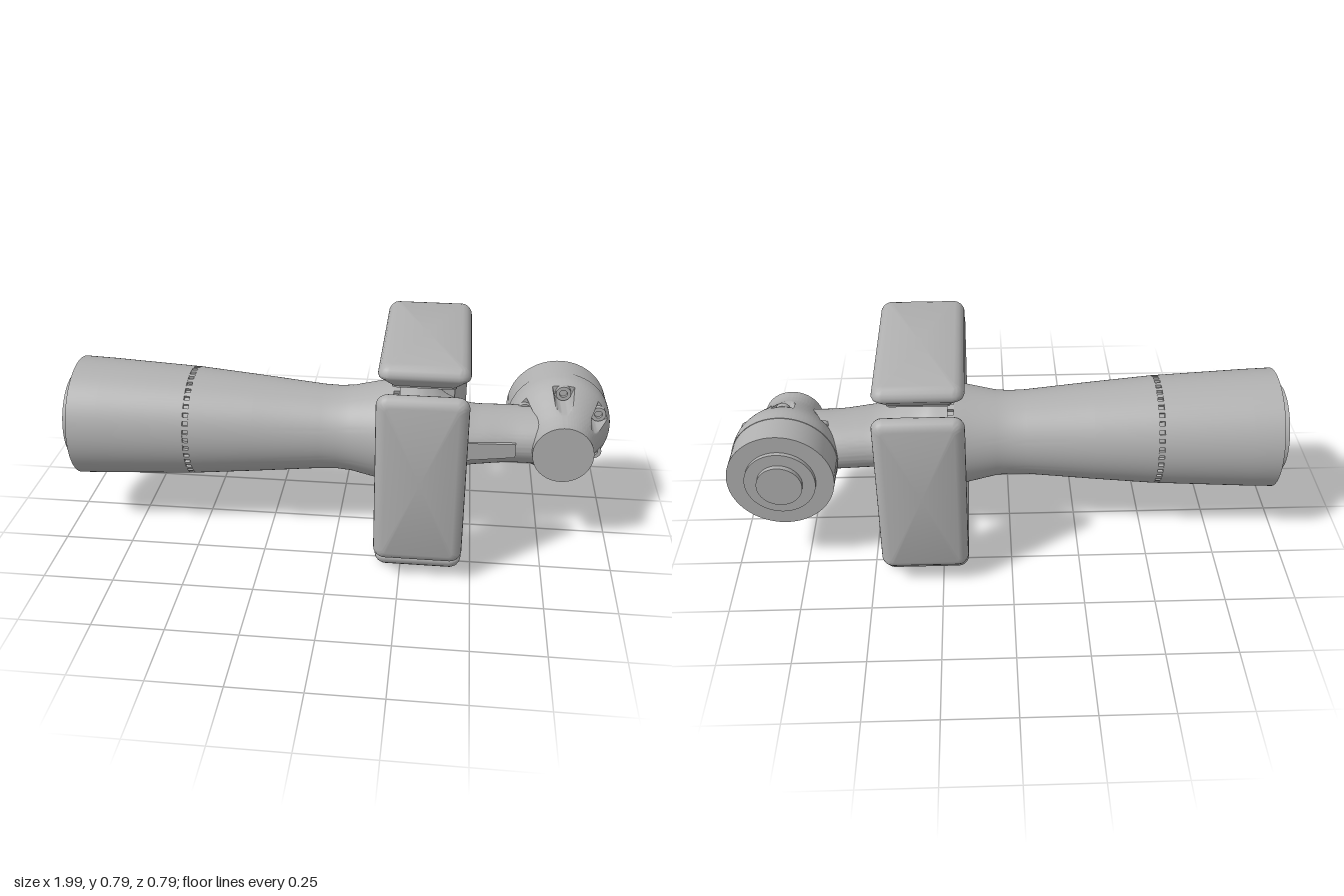
import * as THREE from 'three';
import { toCreasedNormals } from 'three/addons/utils/BufferGeometryUtils.js';

const CY = 0.4; // height of the main axis
const grey = new THREE.MeshStandardMaterial({ color: 0xb0b0b0 });
grey.name = 'grey';

function part(name, geometry, parent, crease = 0.6) {
  const mesh = new THREE.Mesh(toCreasedNormals(geometry, crease), grey);
  mesh.name = name;
  parent.add(mesh);
  return mesh;
}

// profile given as [position along axis, radius]
function lathe(profile, segments) {
  return new THREE.LatheGeometry(profile.map(([a, r]) => new THREE.Vector2(r, a)), segments);
}

// closed skin over rings that advance along +z, capped at both ends
function loft(rings) {
  const n = rings[0].length, pos = [], idx = [];
  rings.forEach(ring => ring.forEach(p => pos.push(...p)));
  for (let i = 0; i < rings.length - 1; i++) {
    for (let j = 0; j < n; j++) {
      const a = i * n + j, b = i * n + (j + 1) % n;
      idx.push(a, b, b + n, a, b + n, a + n);
    }
  }
  [0, rings.length - 1].forEach(i => {
    const c = pos.length / 3, mid = [0, 0, 0];
    rings[i].forEach(p => p.forEach((v, k) => { mid[k] += v / n; }));
    pos.push(...mid);
    for (let j = 0; j < n; j++) {
      const a = i * n + j, b = i * n + (j + 1) % n;
      idx.push(c, i ? a : b, i ? b : a);
    }
  });
  const g = new THREE.BufferGeometry();
  g.setAttribute('position', new THREE.Float32BufferAttribute(pos, 3));
  g.setIndex(idx);
  return g;
}

function roundedRing(hx, hy, r, z) {
  const ring = [];
  for (let q = 0; q < 4; q++) {
    const sx = q === 0 || q === 3 ? 1 : -1, sy = q < 2 ? 1 : -1;
    for (let k = 0; k <= 6; k++) {
      const t = (q + k / 6) * Math.PI / 2;
      ring.push([sx * (hx - r) + r * Math.cos(t), sy * (hy - r) + r * Math.sin(t), z]);
    }
  }
  return ring;
}

// ring of small teeth bridging a groove around the main axis
function toothRing(name, parent, x, radius, count, width) {
  const ring = new THREE.Group();
  ring.name = name;
  for (let i = 0; i < count; i++) {
    const g = new THREE.BoxGeometry(width, 0.02, radius * Math.PI / count);
    g.translate(x, radius - 0.01, 0).rotateX(i / count * Math.PI * 2);
    part('tooth', g, ring);
  }
  parent.add(ring);
}

function makeBody(parent) {
  const body = new THREE.Group();
  body.name = 'body';
  body.position.y = CY;
  parent.add(body);
  const barrel = lathe([
    [-1, 0], [-1, 0.16], [-0.968, 0.16], [-0.968, 0.22], [-0.86, 0.216], [-0.546, 0.2],
    [-0.546, 0.188], [-0.526, 0.188], [-0.526, 0.199], [-0.3, 0.179], [-0.06, 0.156],
    [0, 0.154], [0.05, 0.158], [0.16, 0.182], [0.2, 0.19], [0.2, 0.178], [0.225, 0.178], [0.225, 0]
  ], 96);
  part('barrel', barrel.rotateZ(-Math.PI / 2), body);
  toothRing('rearToothRing', body, -0.536, 0.199, 40, 0.022);
  toothRing('frontToothRing', body, 0.2125, 0.19, 28, 0.027);

  // small studs under the barrel
  [-0.7, -0.82].forEach(x => {
    const g = new THREE.CylinderGeometry(0.014, 0.014, 0.02, 16);
    part('stud', g.translate(x, -0.212, 0), body);
  });

  // neck: ellipse sections [x, half height, half depth, depth offset]
  const stations = [
    [0.222, 0.196, 0.196, 0], [0.29, 0.193, 0.195, 0], [0.34, 0.17, 0.182, 0],
    [0.4, 0.13, 0.158, 0], [0.47, 0.106, 0.143, -0.003], [0.55, 0.1, 0.135, -0.012],
    [0.63, 0.098, 0.13, -0.018], [0.74, 0.1, 0.125, -0.02]
  ];
  const sizes = new THREE.CatmullRomCurve3(stations.map(s => new THREE.Vector3(s[0], s[1], s[2])));
  const rings = [];
  for (let i = 0; i <= 48; i++) {
    const p = sizes.getPoint(i / 48), ring = [];
    const off = -0.02 * THREE.MathUtils.smoothstep(p.x, 0.45, 0.65);
    for (let j = 0; j < 96; j++) {
      const t = j / 96 * Math.PI * 2;
      // four pockets beside the ribs
      const side = Math.atan2(Math.abs(Math.sin(t)), Math.abs(Math.cos(t)));
      const across = 1 - THREE.MathUtils.smoothstep(Math.abs(side - 0.5), 0.2, 0.3);
      const along = THREE.MathUtils.smoothstep(p.x, 0.3, 0.34) * (1 - THREE.MathUtils.smoothstep(p.x, 0.4, 0.47));
      const s = 1 - 0.2 * across * along;
      ring.push([p.z * s * Math.cos(t) - off, p.y * s * Math.sin(t), p.x]);
    }
    rings.push(ring);
  }
  part('neck', loft(rings).rotateY(Math.PI / 2), body, 0.7);

  // rib running from the neck to the head
  const rib = new THREE.BoxGeometry(0.26, 0.07, 0.05, 8, 1, 1);
  const rp = rib.attributes.position;
  for (let i = 0; i < rp.count; i++) {
    const x = rp.getX(i) + 0.51;
    rp.setXYZ(i, x, rp.getY(i) * (1.1 - 0.35 * (x - 0.38) / 0.26), rp.getZ(i) + 0.117 - (x - 0.47) * 0.14);
  }
  part('rib', rib, body);
}

function makeHead(parent) {
  const head = new THREE.Group();
  head.name = 'head';
  head.position.set(0.805, CY, 0);
  parent.add(head);

  // drum and round plates at the back
  const drum = lathe([
    [-0.302, 0], [-0.302, 0.079], [-0.284, 0.079], [-0.284, 0.123], [-0.268, 0.123],
    [-0.268, 0.186], [-0.155, 0.186], [-0.155, 0]
  ], 96);
  part('drum', drum.rotateX(Math.PI / 2), head);

  // tapered shell with screw channels cut parallel to its axis
  const angles = [-150, -90, -30, 30, 90, 150].map(THREE.MathUtils.degToRad);
  const R = 0.153, c = 0.034, floor = -0.07;
  const radii = new THREE.CatmullRomCurve3([
    [-0.155, 0.188], [-0.105, 0.186], [-0.07, 0.176], [-0.03, 0.158], [0.02, 0.134], [0.065, 0.115], [0.1, 0.107]
  ].map(([z, r]) => new THREE.Vector3(z, r, 0)));
  const rows = [];
  for (let i = 0; i <= 40; i++) {
    const p = radii.getPoint(i / 40);
    if (rows.length && rows[rows.length - 1][0] < floor && p.x >= floor) {
      rows.push([floor, 0.176, false], [floor, 0.176, true]);
    }
    if (Math.abs(p.x - floor) > 0.001) rows.push([p.x, p.y, p.x > floor]);
  }
  rows.push([0.132, 0.107, true]);
  const rings = rows.map(([z, r, cut]) => {
    const ring = [];
    for (let j = 0; j < 192; j++) {
      const t = j / 192 * Math.PI * 2;
      let rr = r;
      if (cut) angles.forEach(a => {
        const d = Math.atan2(Math.sin(t - a), Math.cos(t - a));
        const h = c * c - (R * Math.sin(d)) ** 2;
        if (h > 0 && Math.cos(d) > 0) rr = Math.min(rr, R * Math.cos(d) - Math.sqrt(h));
      });
      ring.push([rr * Math.cos(t), rr * Math.sin(t), z]);
    }
    return ring;
  });
  part('shell', loft(rings), head);

  // socket screws sitting on the channel floors
  angles.forEach(a => {
    const g = lathe([[0, 0], [0, 0.027], [0.02, 0.027], [0.02, 0.014], [0.008, 0.014], [0.008, 0]], 20);
    g.rotateX(Math.PI / 2).translate(R * Math.cos(a), R * Math.sin(a), floor);
    part('screw', g, head);
  });
}

function makePads(parent) {
  const pads = new THREE.Group();
  pads.name = 'pads';
  pads.position.set(0.311, CY, 0);
  parent.add(pads);
  // [distance from axis, inset from the widest outline]
  const layers = [[0.302, 0.046], [0.308, 0.046], [0.346, 0.004], [0.356, 0], [0.367, 0.002],
    [0.379, 0.009], [0.388, 0.019], [0.393, 0.034]];
  for (let k = 0; k < 4; k++) {
    const pad = new THREE.Group();
    pad.name = 'pad';
    pad.rotation.x = k * Math.PI / 2;
    pads.add(pad);
    const rings = layers.map(([z, d]) => roundedRing(0.154 - d, 0.316 - d, Math.max(0.014, 0.04 - d), z));
    part('padPlate', loft(rings), pad);
    // four hollow bolts on the inner face
    for (const x of [-0.04, 0.04]) for (const y of [-0.04, 0.04]) {
      const g = lathe([[0.298, 0], [0.298, 0.012], [0.288, 0.012], [0.288, 0.021], [0.304, 0.025]], 24);
      part('bolt', g.rotateX(Math.PI / 2).translate(x, y, 0), pad);
    }
  }
}

export function createModel() {
  const model = new THREE.Group();
  model.name = 'clampDevice';
  makeBody(model);
  makeHead(model);
  makePads(model);
  return model;
}
